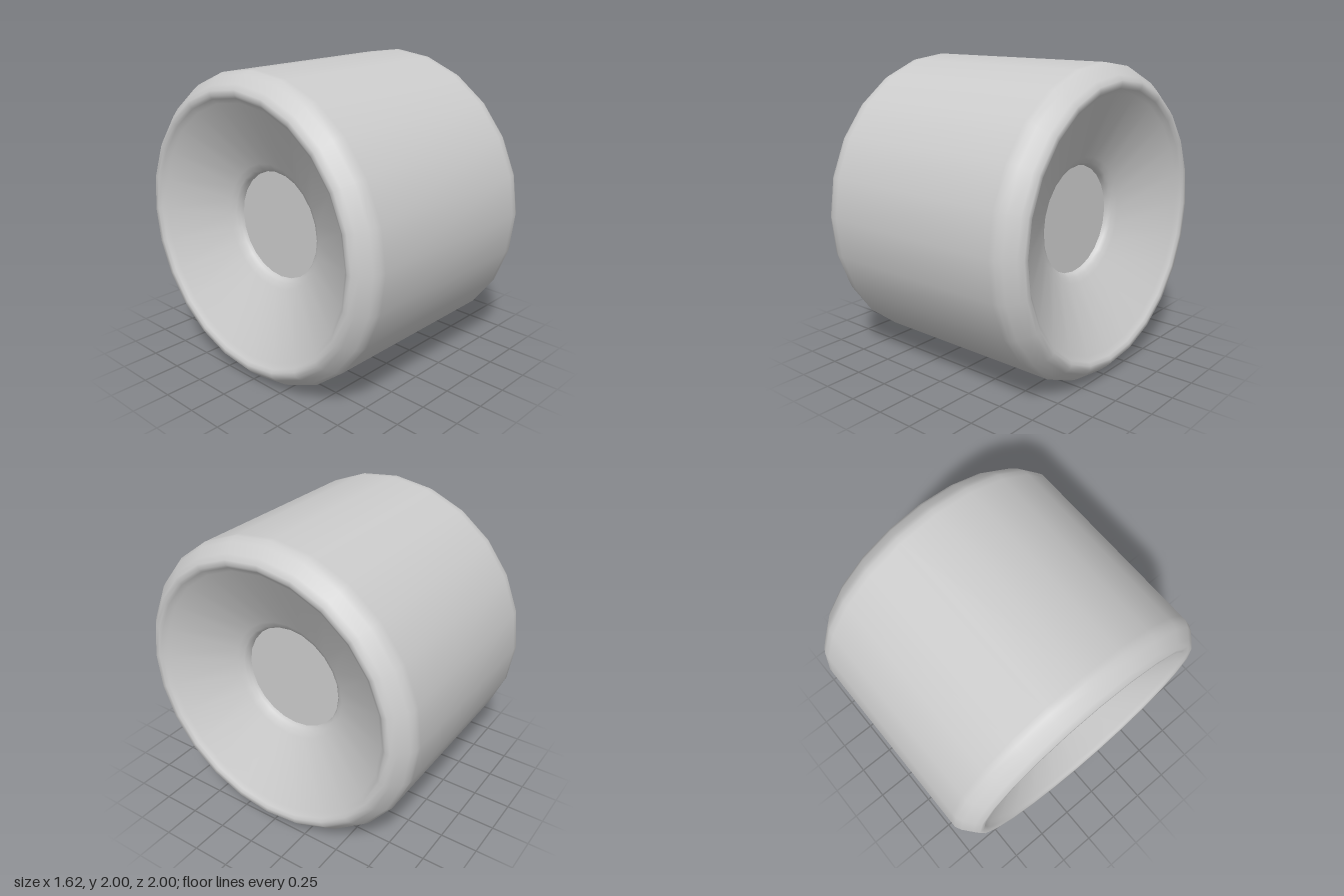
import * as THREE from 'three';

const SIDES = 24;
const TWIST = 0.015; // slight turn of the facets about the axle

export function createModel() {
  const model = new THREE.Group();
  model.name = 'wheel';

  const grey = new THREE.MeshStandardMaterial({ color: 0xcccccc });
  grey.name = 'light grey';

  // Half profile as [distance along the axle, radius], from hub to tread
  const half = [
    [0.49, 0.352], [0.515, 0.357], [0.535, 0.375], [0.555, 0.41],
    [0.77, 0.82], [0.795, 0.85], [0.808, 0.87],
    [0.808, 0.9], [0.78, 0.93], [0.72, 0.98], [0.68, 1], [0.64, 1],
  ];
  const profile = [
    ...half.map(([x, r]) => new THREE.Vector2(r, -x)),
    ...half.slice().reverse().map(([x, r]) => new THREE.Vector2(r, x)),
  ];

  // Tyre with rounded shoulders and a dished face on both ends
  const tyreGeometry = new THREE.LatheGeometry(profile, SIDES, -TWIST, Math.PI * 2);
  tyreGeometry.rotateZ(-Math.PI / 2);
  const tyre = new THREE.Mesh(tyreGeometry, grey);
  tyre.name = 'tyre';
  model.add(tyre);

  // Flat hub faces closing the dishes
  for (const side of [1, -1]) {
    const hubGeometry = new THREE.CircleGeometry(0.352, SIDES, -side * TWIST, Math.PI * 2);
    hubGeometry.rotateY(side * Math.PI / 2);
    const hub = new THREE.Mesh(hubGeometry, grey);
    hub.name = side > 0 ? 'leftHub' : 'rightHub';
    hub.position.x = side * 0.49;
    model.add(hub);
  }

  model.position.y = 1;
  const root = new THREE.Group();
  root.name = 'wheelModel';
  root.add(model);
  return root;
}
